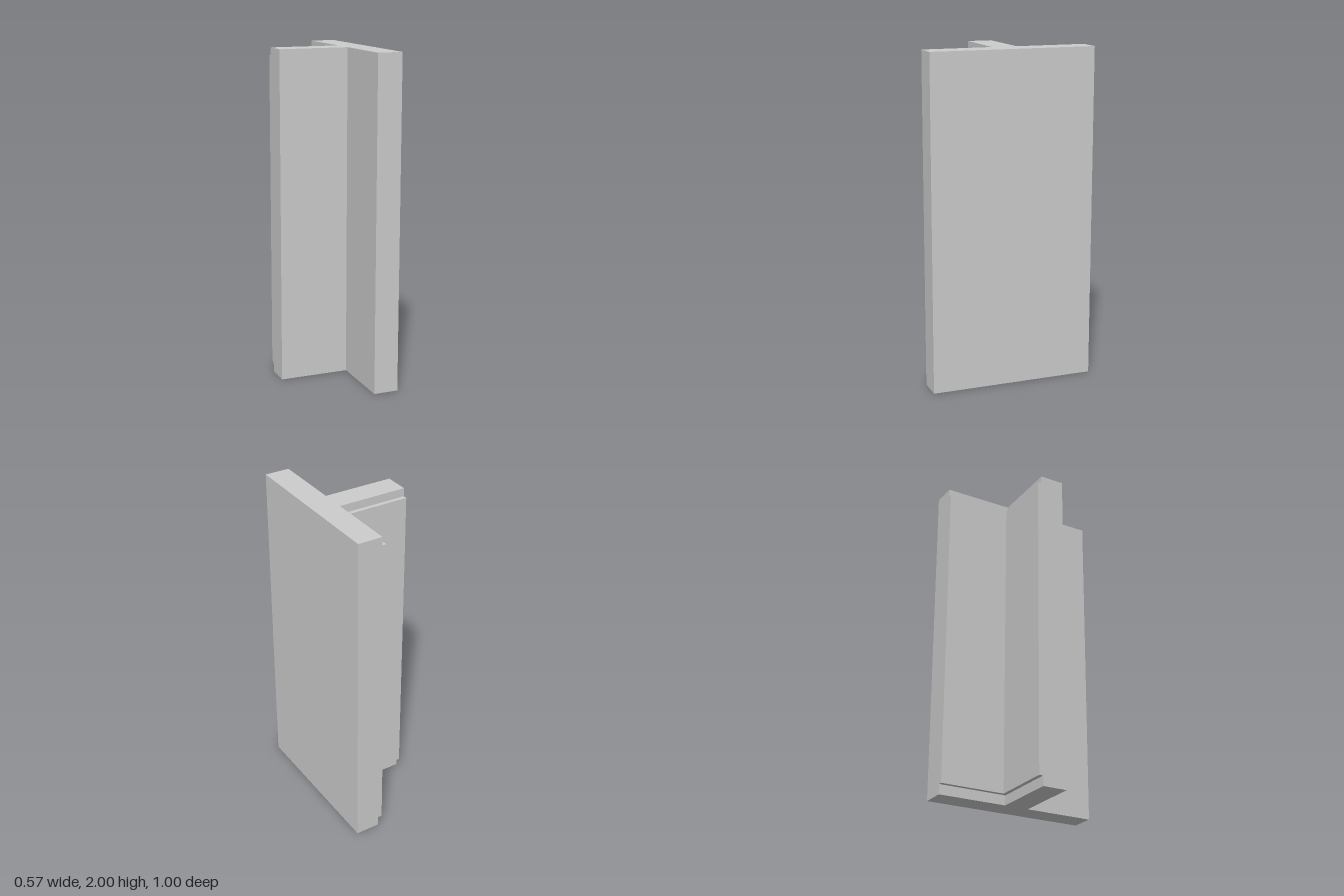
import * as THREE from 'three';

const material = new THREE.MeshStandardMaterial({ color: 0xcccccc });

// Extrudes a plan outline of [x, z] points from y0 up to y1.
function prism(name, plan, y0, y1) {
  const shape = new THREE.Shape(plan.map(([x, z]) => new THREE.Vector2(x, -z)));
  const geometry = new THREE.ExtrudeGeometry(shape, { depth: y1 - y0, bevelEnabled: false });
  geometry.rotateX(-Math.PI / 2).translate(0, y0, 0);
  const mesh = new THREE.Mesh(geometry, material);
  mesh.name = name;
  return mesh;
}

export function createModel() {
  const group = new THREE.Group();
  group.name = 'wallJunction';
  const right = -0.287, left = 0.287, face = 0.137; // outer sides and inner wall face
  const half = 0.075; // half thickness of the branch wall
  const lining = 0.025;

  // T-shaped walls, full height
  group.add(prism('walls', [
    [left, 0.5], [left, -0.5], [face, -0.5], [face, -half],
    [right, -half], [right, half], [face, half], [face, 0.5],
  ], 0, 2));

  // L-shaped lining in the back corner, stopping short of top and bottom
  group.add(prism('cornerLining', [
    [face, -0.5], [face - lining, -0.5], [face - lining, -half - lining],
    [right, -half - lining], [right, -half], [face, -half],
  ], 0.06, 1.95));

  return group;
}
